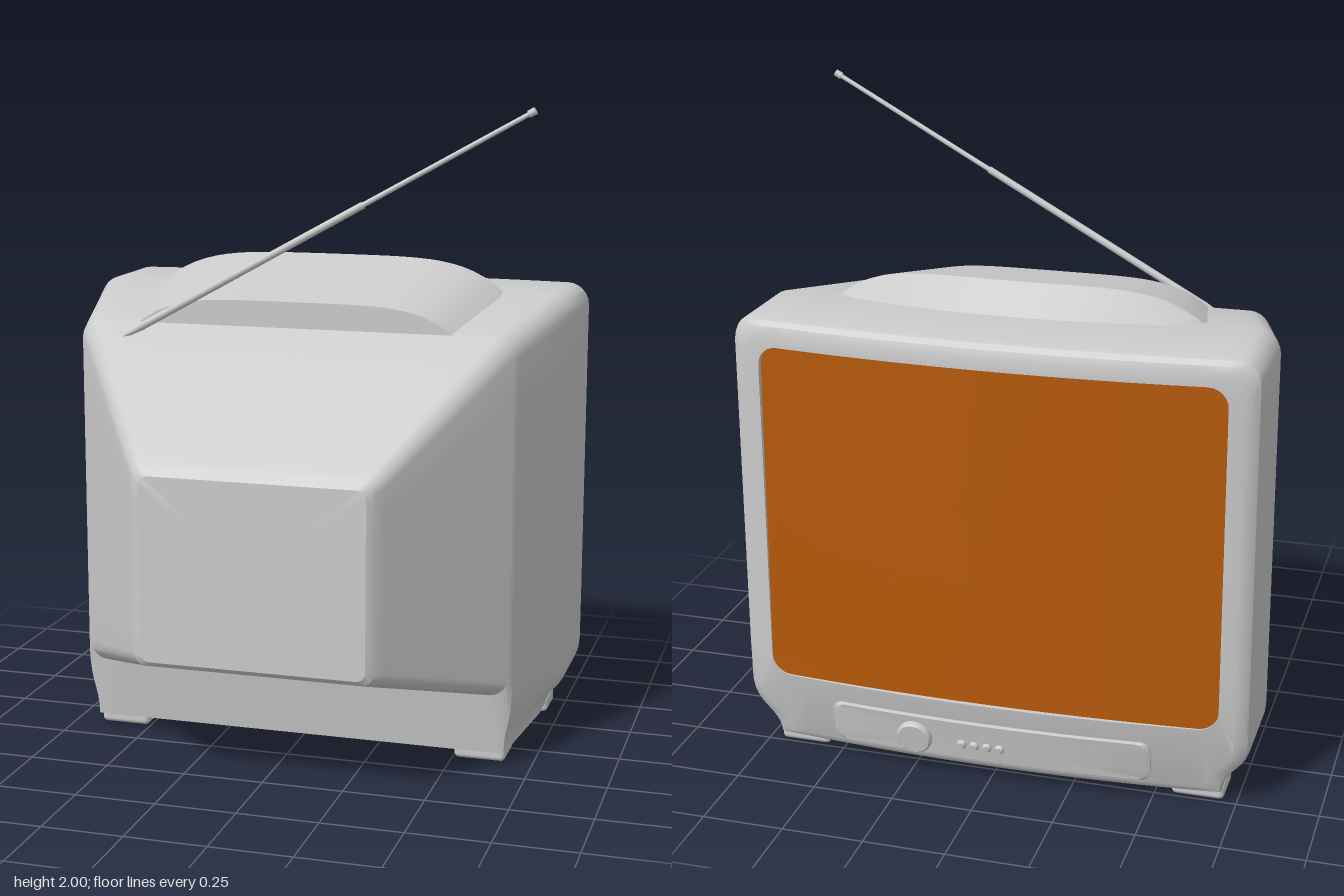
import * as THREE from 'three';
import { toCreasedNormals } from 'three/addons/utils/BufferGeometryUtils.js';
import { RoundedBoxGeometry } from 'three/addons/geometries/RoundedBoxGeometry.js';

const grey = new THREE.MeshStandardMaterial({ color: 0xcccccc });
const orange = new THREE.MeshStandardMaterial({ color: 0xb5590a });

function add(parent, name, geometry, material = grey) {
  const mesh = new THREE.Mesh(geometry, material);
  mesh.name = name;
  parent.add(mesh);
  return mesh;
}

// Skin a list of equally long closed loops.
function loft(loops, crease = 0.45) {
  const n = loops[0].length, index = [];
  for (let j = 0; j < loops.length - 1; j++) {
    for (let i = 0; i < n; i++) {
      const a = j * n + i, b = j * n + (i + 1) % n;
      index.push(a, b, b + n, a, b + n, a + n);
    }
  }
  const g = new THREE.BufferGeometry().setFromPoints(loops.flat());
  g.setIndex(index);
  return toCreasedNormals(g, crease);
}

// Symmetric outline: rounded top corners, bottom either rounded or flared inward to wb.
function outline({ w, top, r, f, wb, yb, round = false }) {
  const V = (x, y) => new THREE.Vector2(x, y);
  const h = f - yb;
  const c1 = V(w, f - h * 0.55);
  const c2 = round ? V(wb + (w - wb) * 0.55, yb) : V(wb, yb + h * 0.45);
  const half = [];
  const run = (curve, n) => { for (let i = 0; i < n; i++) half.push(curve.getPoint(i / n)); };
  run(new THREE.LineCurve(V(0, yb), V(wb, yb)), 12);
  run(new THREE.CubicBezierCurve(V(wb, yb), c2, c1, V(w, f)), 8);
  run(new THREE.LineCurve(V(w, f), V(w, top - r)), 8);
  run(new THREE.EllipseCurve(w - r, top - r, r, r, 0, Math.PI / 2), 6);
  run(new THREE.LineCurve(V(w - r, top), V(0, top)), 12);
  half.push(V(0, top));
  const mirrored = half.slice(1, -1).reverse().map(p => V(-p.x, p.y));
  return half.concat(mirrored);
}

const roundRect = (w, yb, top, r) => ({ w, top, r, f: yb + r, wb: w - r, yb, round: true });
const bow = x => 1 - (x / 0.79) ** 2;

// Outline placed at depth z, bowed by b and slanted below y = 0.25.
function section(shape, z, b = 0, slant = 0) {
  return outline(shape).map(p => new THREE.Vector3(
    p.x, p.y, z - b * bow(p.x) + slant * Math.max(0, 0.25 - p.y)));
}

// Rings shrinking towards a centre height, each point's depth given by a rule.
function rings(shape, scales, depth) {
  const cy = (shape.top + shape.yb) / 2;
  return scales.map(s => outline(shape).map(p => {
    const x = p.x * s, y = cy + (p.y - cy) * s;
    return new THREE.Vector3(x, y, depth(x, y));
  }));
}

const faceZ = (x, y, off) => -0.55 - 0.055 * bow(x) + 0.2 * Math.max(0, 0.27 - y) - off;

function makeCabinet() {
  const full = (inset = 0) => ({
    w: 0.79 - inset, top: 1.41 - inset, r: 0.07, f: 0.22,
    wb: 0.705 - inset, yb: 0.035 + inset * 0.5 });
  const opening = roundRect(0.70, 0.27, 1.33, 0.06);
  const rear = roundRect(0.345, 0.38, 0.945, 0.03);
  return loft([
    section(opening, -0.515, 0.04),
    section(opening, -0.55, 0.055),
    section(full(0.045), -0.55, 0.055, 0.22),
    section(full(0.02), -0.543, 0.053, 0.2),
    section(full(0.006), -0.53, 0.05, 0.15),
    section(full(), -0.51, 0.045, 0.1),
    section(full(), -0.25),
    section({ w: 0.69, top: 1.335, r: 0.065, f: 0.25, wb: 0.665, yb: 0.035 }, 0.165, 0, -0.07),
    section(roundRect(0.68, 0.23, 1.33, 0.06), 0.18),
    section(roundRect(0.385, 0.355, 0.985, 0.04), 0.565),
    section(roundRect(0.365, 0.365, 0.965, 0.035), 0.593),
    section(rear, 0.605),
    ...rings(rear, [0.5, 0], () => 0.605),
  ]);
}

// Raised top grip, arched across x and swelling towards the screen side.
function makeHump() {
  const arch = (hw, base, top, z, b) => Array.from({ length: 33 }, (_, i) => {
    const u = 1 - i / 16;
    return new THREE.Vector3(hw * u, base + (top - base) * (1 - Math.abs(u) ** 5), z - b * (1 - u * u));
  });
  const front = arch(0.5, 1.325, 1.41, 0.18, 0);
  return loft([
    arch(0.53, 1.395, 1.41, -0.28, 0.055),
    arch(0.57, 1.4, 1.505, -0.24, 0.045),
    arch(0.565, 1.4, 1.495, -0.2, 0.035),
    front,
    front.map(() => new THREE.Vector3(0, 1.33, 0.18)),
  ], 0.4);
}

// Cylinder between two points.
function rod(a, b, r0, r1) {
  const d = b.clone().sub(a);
  const g = new THREE.CylinderGeometry(r1, r0, d.length(), 12);
  g.applyQuaternion(new THREE.Quaternion().setFromUnitVectors(
    new THREE.Vector3(0, 1, 0), d.normalize()));
  const m = a.clone().add(b).multiplyScalar(0.5);
  return g.translate(m.x, m.y, m.z);
}

export function createModel() {
  const tv = new THREE.Group();
  tv.name = 'television';
  add(tv, 'cabinet', makeCabinet());
  add(tv, 'topGrip', makeHump());

  // Bulging screen set into the opening
  const screenZ = (x, y) => -0.543 - 0.032 * (1 - (x / 0.7) ** 2) - 0.015 * (1.33 - y) / 1.06;
  add(tv, 'screen', loft(rings(roundRect(0.705, 0.265, 1.335, 0.06),
    [0, 0.25, 0.5, 0.75, 1], screenZ)), orange);

  // Control panel plate under the screen
  const plate = roundRect(0.5, 0.07, 0.205, 0.03);
  const plateTop = rings(plate, [0, 0.5, 0.97], (x, y) => faceZ(x, y, 0.014));
  const plateSide = [0.008, -0.015].map(off => rings(plate, [1], (x, y) => faceZ(x, y, off))[0]);
  add(tv, 'controlPanel', loft([...plateTop, ...plateSide]));

  // Knob and buttons stand square to the slanted panel
  const control = (name, x, y, r, height) => {
    const g = new THREE.LatheGeometry([
      [r, -0.02], [r, height - 0.006], [r - 0.006, height], [0, height],
    ].map(p => new THREE.Vector2(...p)), 28);
    const mesh = add(tv, name, toCreasedNormals(g, 0.5));
    mesh.position.set(x, y, faceZ(x, y, 0.012));
    mesh.rotation.x = -Math.PI / 2 - 0.2;
  };
  control('knob', 0.23, 0.13, 0.055, 0.02);
  for (let i = 0; i < 4; i++) control('button', 0.08 - i * 0.04, 0.125, 0.015, 0.01);

  // Feet
  for (const side of [-1, 1]) {
    for (const [x, z] of [[0.585, 0.065], [0.63, -0.425]]) {
      const foot = add(tv, 'foot', new RoundedBoxGeometry(0.16, 0.05, 0.135, 3, 0.015));
      foot.position.set(side * x, 0.025, z);
    }
  }

  // Telescopic antenna
  const antenna = new THREE.Group();
  antenna.name = 'antenna';
  tv.add(antenna);
  const start = new THREE.Vector3(-0.53, 1.29, 0.22), end = new THREE.Vector3(0.735, 1.993, 0.22);
  const at = t => start.clone().lerp(end, t);
  add(antenna, 'antennaPivot', rod(at(0), at(0.05), 0.006, 0.013));
  add(antenna, 'antennaLowerTube', rod(at(0.05), at(0.6), 0.012, 0.011));
  add(antenna, 'antennaUpperTube', rod(at(0.6), at(0.985), 0.008, 0.007));
  add(antenna, 'antennaTip', rod(at(0.985), at(1), 0.011, 0.011));
  return tv;
}
